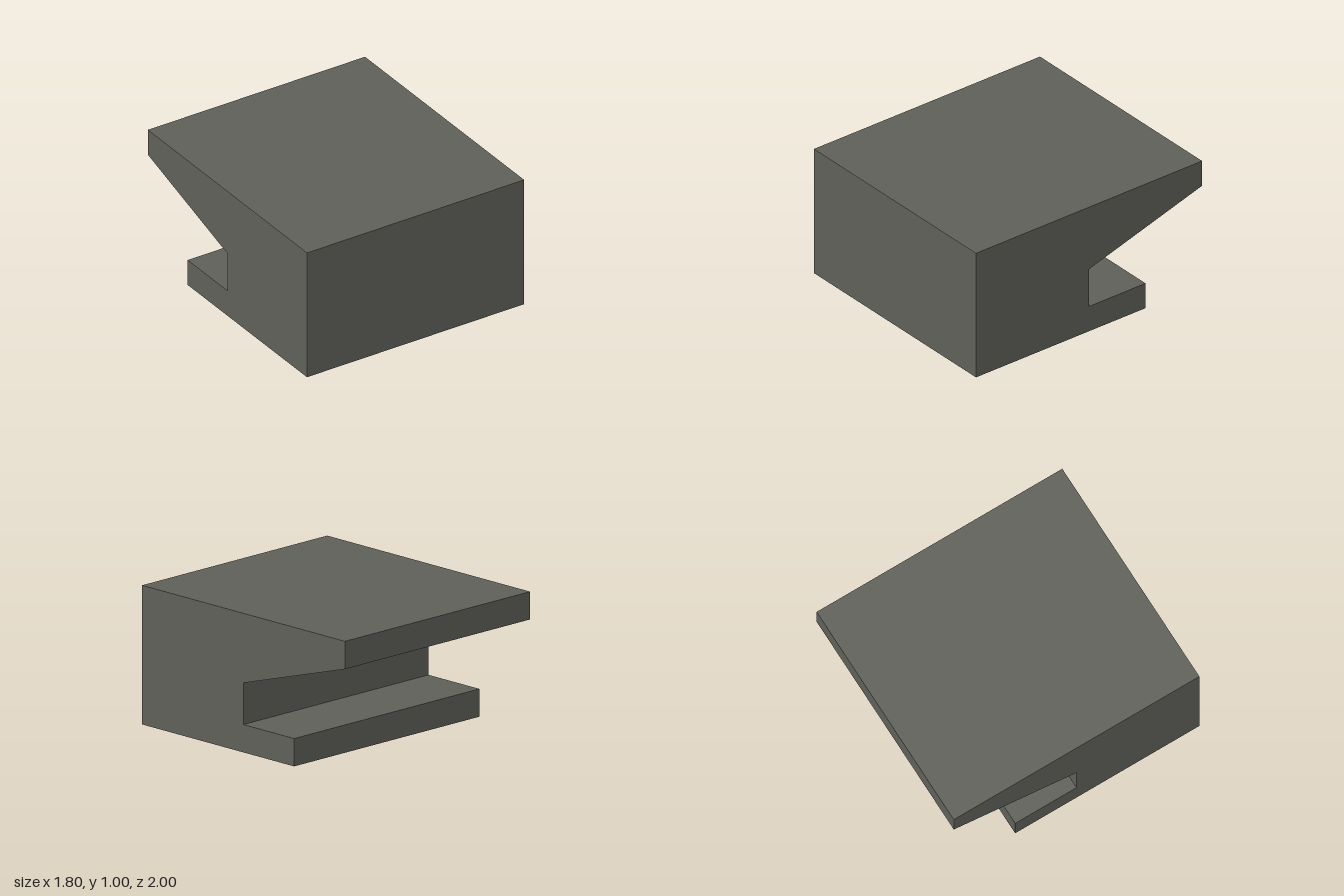
import * as THREE from 'three';

const WIDTH = 1.8;

export function createModel() {
  const group = new THREE.Group();
  group.name = 'notchedBlock';

  const darkGrey = new THREE.MeshStandardMaterial({ color: 0x60605a });
  darkGrey.name = 'darkGrey';

  // Side profile as [z, y]: solid front, sloped upper overhang, short lower ledge
  const profile = [
    [1, 0], [-0.5, 0], [-0.5, 0.2], [0, 0.2],
    [0, 0.5], [-1, 0.8], [-1, 1], [1, 1],
  ];
  const shape = new THREE.Shape(profile.map(([z, y]) => new THREE.Vector2(-z, y)));

  // Extrude across the width, then turn the profile into the z-y plane
  const geometry = new THREE.ExtrudeGeometry(shape, { depth: WIDTH, bevelEnabled: false });
  geometry.translate(0, 0, -WIDTH / 2);
  geometry.rotateY(Math.PI / 2);

  const body = new THREE.Mesh(geometry, darkGrey);
  body.name = 'body';
  group.add(body);
  return group;
}
